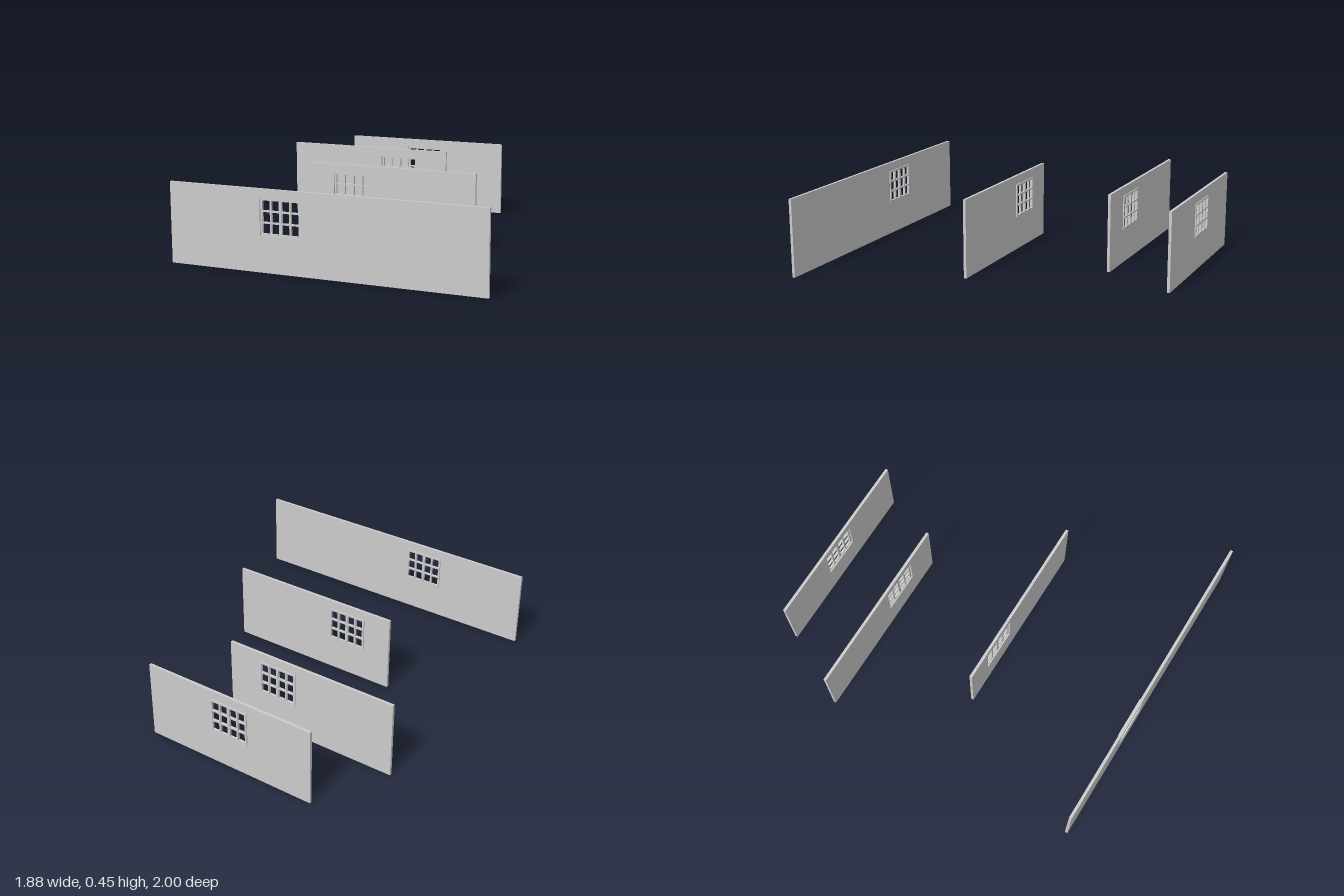
import * as THREE from 'three';

const H = 0.45, T = 0.016;
const WIN = { x0: -0.33, x1: -0.094, y0: 0.2, y1: 0.398 };

function rect(Type, x0, y0, x1, y1) {
  const s = new Type();
  s.moveTo(x0, y0);
  s.lineTo(x1, y0);
  s.lineTo(x1, y1);
  s.lineTo(x0, y1);
  s.closePath();
  return s;
}

function slab(shape, depth, z, name, material) {
  const geometry = new THREE.ExtrudeGeometry(shape, { depth, bevelEnabled: false });
  const mesh = new THREE.Mesh(geometry, material);
  mesh.position.z = z;
  mesh.name = name;
  return mesh;
}

export function createModel() {
  const model = new THREE.Group();
  model.name = 'windowWalls';
  const material = new THREE.MeshStandardMaterial({ color: 0xcccccc });

  // Window lattice: two sashes, each two panes wide and three panes high
  const frame = rect(THREE.Shape, WIN.x0, WIN.y0, WIN.x1, WIN.y1);
  const paneW = 0.044, paneH = 0.053, bar = 0.01, mullion = 0.016;
  for (let col = 0; col < 4; col++) {
    const x = WIN.x0 + 0.012 + col * (paneW + bar) + (col > 1 ? mullion - bar : 0);
    for (let row = 0; row < 3; row++) {
      const y = WIN.y0 + 0.0105 + row * (paneH + 0.009);
      frame.holes.push(rect(THREE.Path, x, y, x + paneW, y + paneH));
    }
  }

  // Wall panels: [name, left edge, right edge, back face z]
  const walls = [
    ['frontWall', -0.88, 0.94, 0.984],
    ['middleWall', -0.497, 0.55, 0.112],
    ['rearWall', -0.94, 0.106, -0.566],
    ['backWall', -0.725, 0.322, -0.994],
  ];
  for (const [name, x0, x1, z] of walls) {
    const group = new THREE.Group();
    group.name = name;
    const panel = rect(THREE.Shape, x0, 0, x1, H);
    panel.holes.push(rect(THREE.Path, WIN.x0, WIN.y0, WIN.x1, WIN.y1));
    group.add(slab(panel, T, z, 'panel', material));
    // Window stands slightly proud of the back face
    group.add(slab(frame, 0.014, z - 0.006, 'windowFrame', material));
    model.add(group);
  }
  return model;
}
